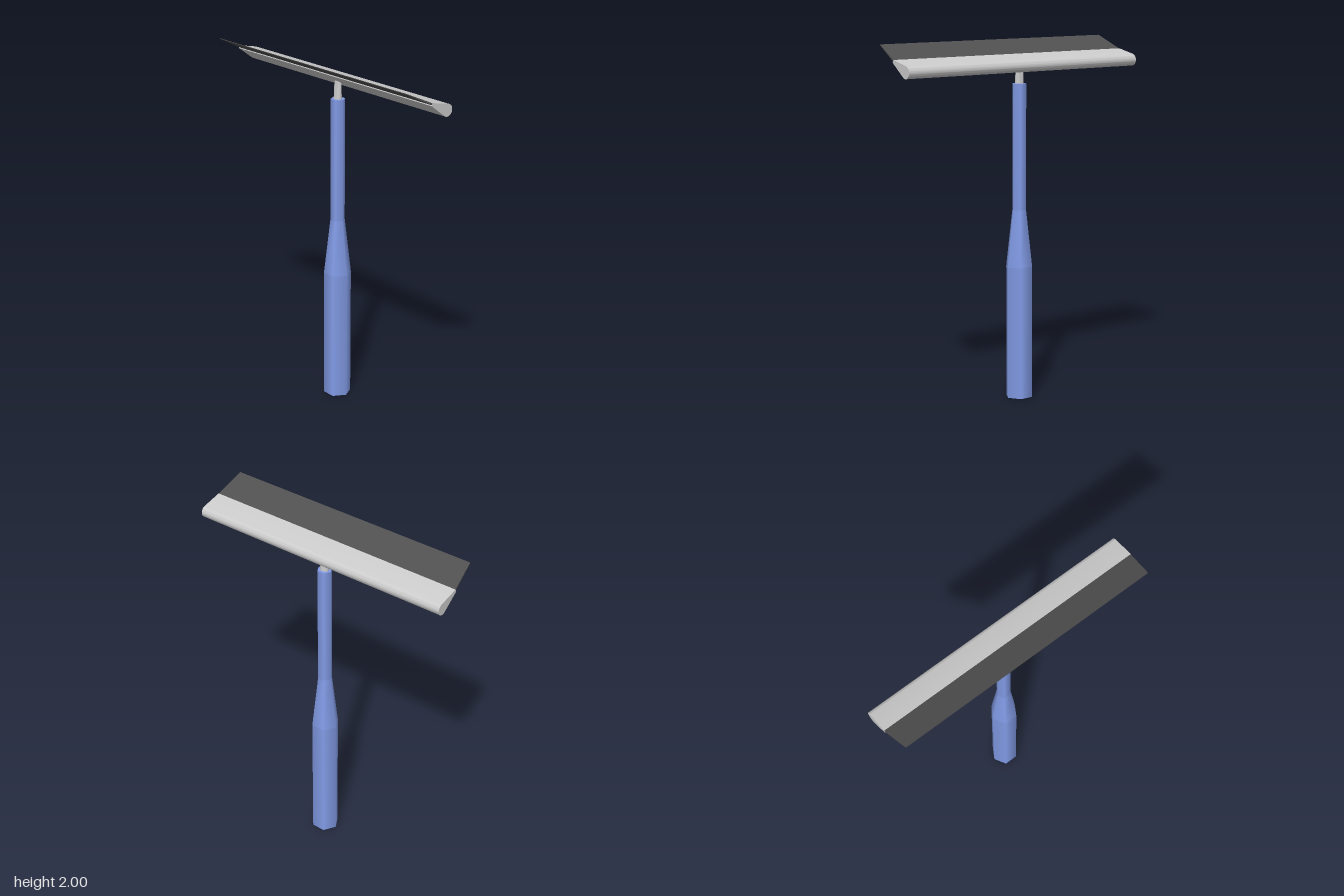
import * as THREE from 'three';
import { toCreasedNormals } from 'three/addons/utils/BufferGeometryUtils.js';

const HANDLE_Z = -0.067;
const HEAD_HALF = 0.785;

export function createModel() {
  const model = new THREE.Group();
  model.name = 'squeegee';
  const grey = new THREE.MeshStandardMaterial({ color: 0xcccccc });
  const blue = new THREE.MeshStandardMaterial({ color: 0x829be6 });
  const rubber = new THREE.MeshStandardMaterial({ color: 0x505050 });

  const add = (parent, name, geometry, material) => {
    const mesh = new THREE.Mesh(geometry, material);
    mesh.name = name;
    parent.add(mesh);
    return mesh;
  };

  // Six-sided handle: thick grip, taper, slim shaft
  const handle = new THREE.Group();
  handle.name = 'handle';
  handle.position.z = HANDLE_Z;
  model.add(handle);
  const sections = [
    ['grip', 0, 0.75, 0.078, 0.078],
    ['taper', 0.75, 1.07, 0.078, 0.041],
    ['shaft', 1.07, 1.77, 0.041, 0.041],
  ];
  for (const [name, y0, y1, r0, r1] of sections) {
    const open = name === 'taper';
    const geo = new THREE.CylinderGeometry(r1, r0, y1 - y0, 6, 1, open, Math.PI / 6);
    geo.translate(0, (y0 + y1) / 2, 0);
    add(handle, name, geo, blue);
  }

  // Neck: constant width, narrowing front to back as it enters the head
  const neckGeo = new THREE.CylinderGeometry(0.025, 0.025, 0.12, 20);
  const p = neckGeo.attributes.position;
  for (let i = 0; i < p.count; i++) {
    const t = p.getY(i) / 0.12 + 0.5;
    p.setZ(i, p.getZ(i) * THREE.MathUtils.lerp(0.85, 0.4, t));
  }
  neckGeo.computeVertexNormals();
  neckGeo.translate(0, 1.825, HANDLE_Z);
  add(model, 'neck', toCreasedNormals(neckGeo, 0.7), grey);

  // Head: teardrop profile, drawn with its x axis pointing to the back
  const deg = THREE.MathUtils.degToRad;
  const profile = new THREE.Shape();
  profile.moveTo(0.008, 1.928);
  profile.lineTo(0.002, 1.913);
  profile.absarc(0.117, 1.869, 0.034, deg(-125), deg(77), false);
  profile.closePath();
  const headGeo = new THREE.ExtrudeGeometry(profile, {
    depth: HEAD_HALF * 2, bevelEnabled: false, curveSegments: 14,
  });
  headGeo.translate(0, 0, -HEAD_HALF);
  headGeo.rotateY(Math.PI / 2);
  add(model, 'head', toCreasedNormals(headGeo, 0.5), grey);

  // Blade: thin slab sloping up to the front, narrower and thinner at its edge
  const bladeGeo = new THREE.BoxGeometry(2, 1, 1);
  const b = bladeGeo.attributes.position;
  for (let i = 0; i < b.count; i++) {
    const front = b.getZ(i) > 0;
    const thickness = front ? 0.004 : 0.012;
    b.setXYZ(
      i,
      b.getX(i) * (front ? 0.762 : HEAD_HALF - 0.001),
      (front ? 1.998 : 1.92) + b.getY(i) * thickness,
      front ? 0.15 : -0.011,
    );
  }
  bladeGeo.computeVertexNormals();
  add(model, 'blade', bladeGeo, rubber);

  return model;
}
